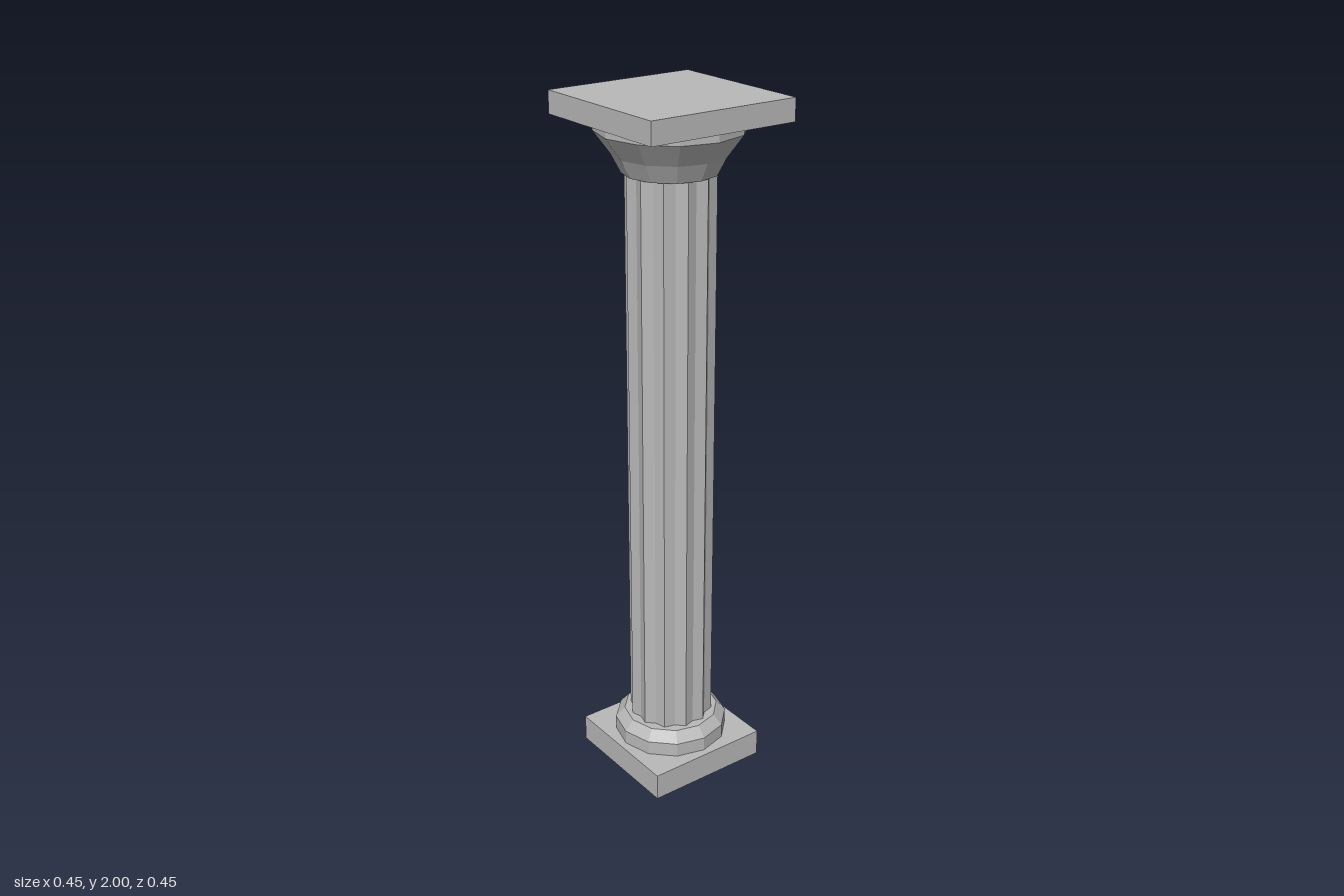
import * as THREE from 'three';

const SIDES = 12;
const stone = new THREE.MeshStandardMaterial({ color: 0xb8b8b8 });
stone.name = 'grey stone';

// Faceted geometry: split the corners so every face keeps its own normal
function addPart(group, name, geometry, y = 0) {
  const flat = geometry.index ? geometry.toNonIndexed() : geometry;
  flat.computeVertexNormals();
  const mesh = new THREE.Mesh(flat, stone);
  mesh.name = name;
  mesh.position.y = y;
  group.add(mesh);
}

// Square slab resting on the given height
function slab(group, name, width, height, y) {
  addPart(group, name, new THREE.BoxGeometry(width, height, width), y + height / 2);
}

// Twelve-sided turned moulding from [radius, height] pairs
function moulding(group, name, profile) {
  const points = profile.map(([r, y]) => new THREE.Vector2(r, y));
  addPart(group, name, new THREE.LatheGeometry(points, SIDES));
}

// Shaft with V-shaped flutes: ridges alternate with grooves
function flutedShaft(ridge, groove, height) {
  const shape = new THREE.Shape();
  for (let i = 0; i < SIDES * 2; i++) {
    const a = (i * Math.PI) / SIDES;
    const r = i % 2 ? ridge : groove;
    if (i) shape.lineTo(r * Math.cos(a), r * Math.sin(a));
    else shape.moveTo(r, 0);
  }
  shape.closePath();
  const geometry = new THREE.ExtrudeGeometry(shape, { depth: height, bevelEnabled: false });
  return geometry.rotateX(-Math.PI / 2);
}

export function createModel() {
  const column = new THREE.Group();
  column.name = 'flutedColumn';

  // Base
  slab(column, 'plinth', 0.376, 0.08, 0);
  moulding(column, 'baseMoulding', [[0, 0.08], [0.167, 0.08], [0.167, 0.122], [0.14, 0.152], [0, 0.152]]);

  // Shaft
  addPart(column, 'shaft', flutedShaft(0.123, 0.11, 1.66), 0.145);

  // Capital
  moulding(column, 'capital', [[0, 1.8], [0.13, 1.8], [0.156, 1.85], [0.202, 1.912], [0.202, 1.94], [0, 1.94]]);
  slab(column, 'abacus', 0.45, 0.062, 1.938);

  return column;
}
